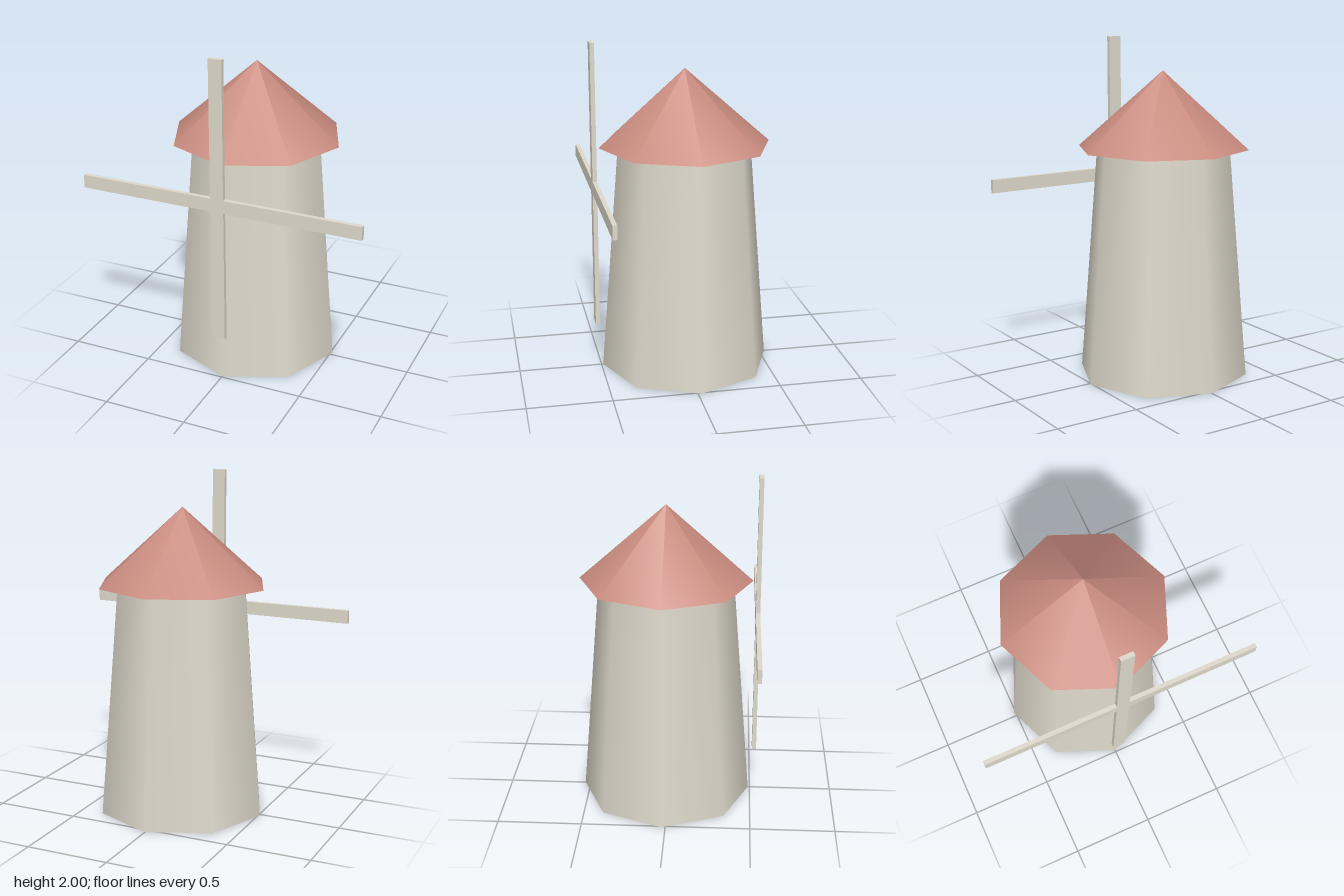
import * as THREE from 'three';

export function createModel() {
  const group = new THREE.Group();
  const add = (name, geometry, color, x, y, z) => {
    const mesh = new THREE.Mesh(geometry, new THREE.MeshStandardMaterial({ color }));
    mesh.name = name;
    mesh.position.set(x, y, z);
    group.add(mesh);
  };
  const sides = 8, baseRadius = 0.512, towerHeight = 1.375, roofHeight = 0.455, towerZ = -0.022;

  // Tapered eight-sided tower
  add('tower', new THREE.CylinderGeometry(0.4, baseRadius, towerHeight, sides), 0xddd8ca,
    0, towerHeight / 2, towerZ);

  // Pointed roof with overhanging eaves
  add('roof', new THREE.ConeGeometry(baseRadius, roofHeight, sides), 0xc98b7f,
    0, towerHeight + roofHeight / 2, towerZ);

  // Four sail arms as one cross, held clear of the tower
  const reach = 0.855, half = 0.04, depth = 0.026;
  const cross = new THREE.Shape();
  for (let i = 0; i < 4; i++) {
    const c = Math.round(Math.cos(i * Math.PI / 2)), s = Math.round(Math.sin(i * Math.PI / 2));
    for (const [x, y] of [[reach, -half], [reach, half], [half, half]]) {
      const px = x * c - y * s, py = x * s + y * c;
      if (i === 0 && x === reach && y < 0) cross.moveTo(px, py);
      else cross.lineTo(px, py);
    }
  }
  cross.closePath();
  add('sails', new THREE.ExtrudeGeometry(cross, { depth, bevelEnabled: false }), 0xddd8ca,
    0, 1.145, 0.508);

  return group;
}
